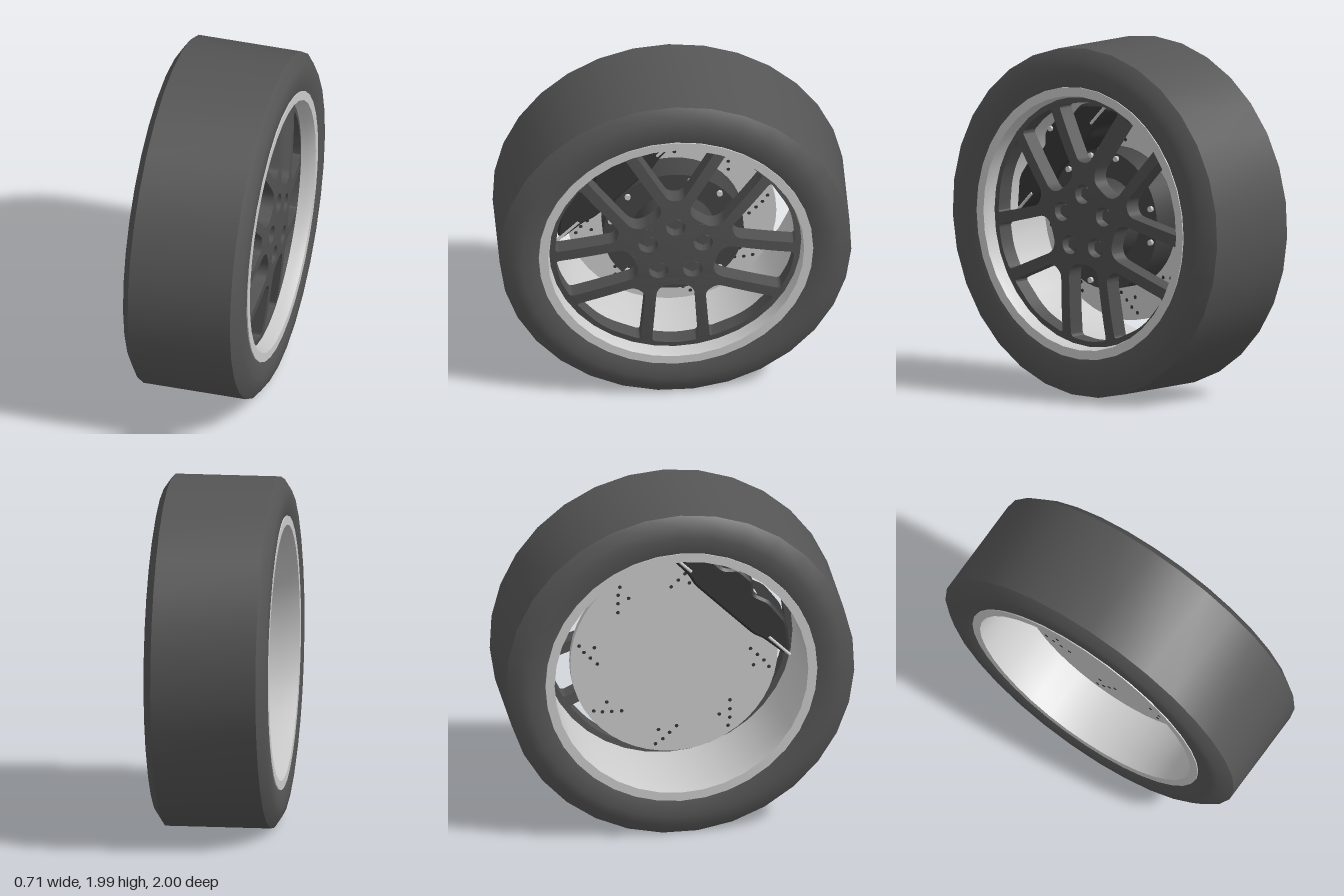
import * as THREE from 'three';
import { toCreasedNormals } from 'three/addons/utils/BufferGeometryUtils.js';

const mat = (color, side = THREE.FrontSide) => new THREE.MeshStandardMaterial({ color, side });
const RUBBER = mat(0x555555);
const ALLOY = mat(0x505050);
const DARK = mat(0x444444);
const CALIPER = mat(0x363636);
const METAL = mat(0xcccccc);
const METAL2 = mat(0xcccccc, THREE.DoubleSide);
const DEG = Math.PI / 180;

// Closed path through [x, y, cornerRadius] points with rounded corners
function rounded(points, PathType = THREE.Path) {
  const path = new PathType();
  const n = points.length;
  const v = points.map((p) => new THREE.Vector2(p[0], p[1]));
  points.forEach(([, , r], i) => {
    const step = (q) => q.clone().sub(v[i]).setLength(r).add(v[i]);
    const a = step(v[(i + n - 1) % n]);
    const b = step(v[(i + 1) % n]);
    if (i === 0) path.moveTo(a.x, a.y); else path.lineTo(a.x, a.y);
    path.quadraticCurveTo(v[i].x, v[i].y, b.x, b.y);
  });
  path.closePath();
  return path;
}

const circle = (r, x = 0, y = 0, PathType = THREE.Path) =>
  new PathType().absarc(x, y, r, 0, Math.PI * 2, false);

// Rotate [radial, lateral, corner] points to a given angle round the axle
function atAngle(points, deg) {
  const c = Math.cos(deg * DEG), s = Math.sin(deg * DEG);
  return points.map(([a, b, r]) => [a * c - b * s, a * s + b * c, r]);
}

// Halve the longest edge of every triangle until none exceeds the limit
function subdivide(geometry, limit) {
  const p = geometry.attributes.position;
  const corner = (i) => new THREE.Vector3().fromBufferAttribute(p, i);
  const out = [];
  const split = (a, b, c) => {
    const ab = a.distanceTo(b), bc = b.distanceTo(c), ca = c.distanceTo(a);
    if (Math.max(ab, bc, ca) <= limit) {
      out.push(a, b, c);
      return;
    }
    // Order the corners so that the longest edge runs from s to t
    let [s, t, u] = [a, b, c];
    if (bc > ab && bc >= ca) [s, t, u] = [b, c, a];
    else if (ca > ab) [s, t, u] = [c, a, b];
    const m = s.clone().add(t).multiplyScalar(0.5);
    split(s, m, u);
    split(m, t, u);
  };
  for (let i = 0; i < p.count; i += 3) split(corner(i), corner(i + 1), corner(i + 2));
  return new THREE.BufferGeometry().setFromPoints(out);
}

// The wheel is modelled with its axle on z and its outer face towards +z
export function createModel() {
  const root = new THREE.Group();
  root.name = 'wheel';
  const wheel = new THREE.Group();
  wheel.name = 'wheelAssembly';
  wheel.rotation.y = Math.PI / 2;
  wheel.position.y = 1;
  root.add(wheel);

  const add = (name, geometry, material, parent = wheel) => {
    const mesh = new THREE.Mesh(geometry, material);
    mesh.name = name;
    parent.add(mesh);
    return mesh;
  };
  // Lathe round the axle from [radius, z] points
  const turned = (name, profile, segments, material) => {
    const pts = profile.map(([r, z]) => new THREE.Vector2(r, z));
    const geo = new THREE.LatheGeometry(pts, segments, Math.PI);
    geo.rotateX(Math.PI / 2);
    return add(name, toCreasedNormals(geo, 0.5), material);
  };
  const extruded = (shape, depth, z, curveSegments, bevel = 0) => {
    const geo = new THREE.ExtrudeGeometry(shape, {
      depth, curveSegments, bevelEnabled: bevel > 0, bevelSize: bevel,
      bevelThickness: bevel, bevelOffset: -bevel, bevelSegments: 1,
    });
    return geo.translate(0, 0, z);
  };
  // Cylinder with its axis along the axle
  const peg = (name, r, length, sides, x, y, z, material, parent) => {
    const geo = new THREE.CylinderGeometry(r, r, length, sides).rotateX(Math.PI / 2);
    const mesh = add(name, toCreasedNormals(geo, 0.9), material, parent);
    mesh.position.set(x, y, z);
    return mesh;
  };

  // Tyre
  const sidewall = [[0.775, 0.337], [0.82, 0.35], [0.88, 0.353], [0.935, 0.344], [1, 0.3]];
  turned('tyre', [
    ...sidewall.map(([r, z]) => [r, -z]),
    ...sidewall.slice().reverse(),
  ], 31, RUBBER);

  // Rim: flat lips at both ends and the open barrel between them
  turned('rimBarrel', [
    [0.78, 0.32], [0.78, 0.345], [0.728, 0.345], [0.717, 0.3],
    [0.717, -0.25], [0.728, -0.345], [0.78, -0.345], [0.78, -0.32],
  ], 36, METAL2);

  // Spoke face: a disc with ten windows and five bolt holes
  const face = circle(0.722, 0, 0, THREE.Shape);
  const deepWindow = [[0.24, -0.105, 0.085], [0.24, 0.105, 0.085],
    [0.67, 0.132, 0.025], [0.69, 0, 0.06], [0.67, -0.132, 0.025]];
  const shortWindow = [[0.345, -0.04, 0.035], [0.345, 0.04, 0.035],
    [0.645, 0.226, 0.025], [0.695, 0, 0.1], [0.645, -0.226, 0.025]];
  const lugs = [];
  for (let i = 0; i < 5; i++) {
    const deg = 90 + i * 72;
    face.holes.push(rounded(atAngle(shortWindow, deg)));
    face.holes.push(rounded(atAngle(deepWindow, deg + 36)));
    const lug = [0.165 * Math.cos(deg * DEG), 0.165 * Math.sin(deg * DEG)];
    face.holes.push(circle(0.055, ...lug));
    lugs.push(lug);
  }
  const faceGeo = subdivide(extruded(face, 0.1, 0.225, 20), 0.09);
  const p = faceGeo.attributes.position;
  for (let i = 0; i < p.count; i++) {
    // Crown the face so the hub stands proud of the outer ring
    const r = Math.hypot(p.getX(i), p.getY(i)) / 0.7;
    p.setZ(i, p.getZ(i) - 0.06 * r * r);
  }
  add('spokes', toCreasedNormals(faceGeo, 0.6), ALLOY);

  // Hub behind the spokes, with hex bolts in the recesses
  peg('hub', 0.235, 0.155, 32, 0, 0, 0.177, DARK);
  lugs.forEach(([x, y]) => {
    peg('lugWasher', 0.05, 0.01, 20, x, y, 0.258, ALLOY);
    peg('lugBolt', 0.038, 0.035, 6, x, y, 0.275, ALLOY);
  });

  // Brake disc with dark drillings
  peg('brakeDisc', 0.595, 0.04, 48, 0, 0, -0.05, METAL);
  const drillings = [[0.44, -92], [0.48, -87], [0.52, -83], [0.555, -79], [0.465, -79]];
  for (let i = 0; i < 8; i++) {
    drillings.forEach(([r, deg]) => {
      const a = (deg + i * 45) * DEG;
      peg('drilling', 0.011, 0.042, 8, r * Math.cos(a), r * Math.sin(a), -0.05, CALIPER);
    });
  }

  // Disc carrier with a recessed centre and a ring of small bolts
  turned('discCarrier', [
    [0.4, -0.03], [0.4, 0.135], [0.29, 0.135], [0.28, 0.1], [0, 0.1],
  ], 40, DARK);
  for (let i = 0; i < 12; i++) {
    const a = (15 + i * 30) * DEG;
    peg('carrierBolt', 0.017, 0.02, 8, 0.37 * Math.cos(a), 0.37 * Math.sin(a), 0.143, METAL);
  }

  // Caliper, clamped over the disc at the upper front
  const caliper = new THREE.Group();
  caliper.name = 'caliper';
  caliper.rotation.z = Math.PI / 4;
  wheel.add(caliper);
  const body = rounded([
    [-0.46, 0.43, 0.015], [-0.3, 0.42, 0.03], [-0.24, 0.4, 0.03], [0.24, 0.4, 0.03],
    [0.3, 0.42, 0.03], [0.46, 0.43, 0.015], [0.465, 0.47, 0.015], [0.33, 0.585, 0.04],
    [0.18, 0.58, 0.03], [0.12, 0.64, 0.02], [0, 0.64, 0.02], [-0.06, 0.58, 0.03],
    [-0.16, 0.61, 0.03], [-0.33, 0.585, 0.04], [-0.465, 0.47, 0.015],
  ], THREE.Shape);
  add('caliperBody', toCreasedNormals(extruded(body, 0.21, -0.085, 4, 0.015), 0.5), CALIPER, caliper);
  for (const side of [-1, 1]) {
    for (const z of [-0.1, 0.14]) {
      const pin = add('caliperPin', new THREE.CylinderGeometry(0.009, 0.009, 0.17, 10), METAL, caliper);
      pin.rotation.z = Math.PI / 2;
      pin.position.set(side * 0.4, 0.45, z);
    }
  }
  peg('bleedScrew', 0.015, 0.03, 10, 0.06, 0.62, 0.14, METAL, caliper);

  return root;
}
